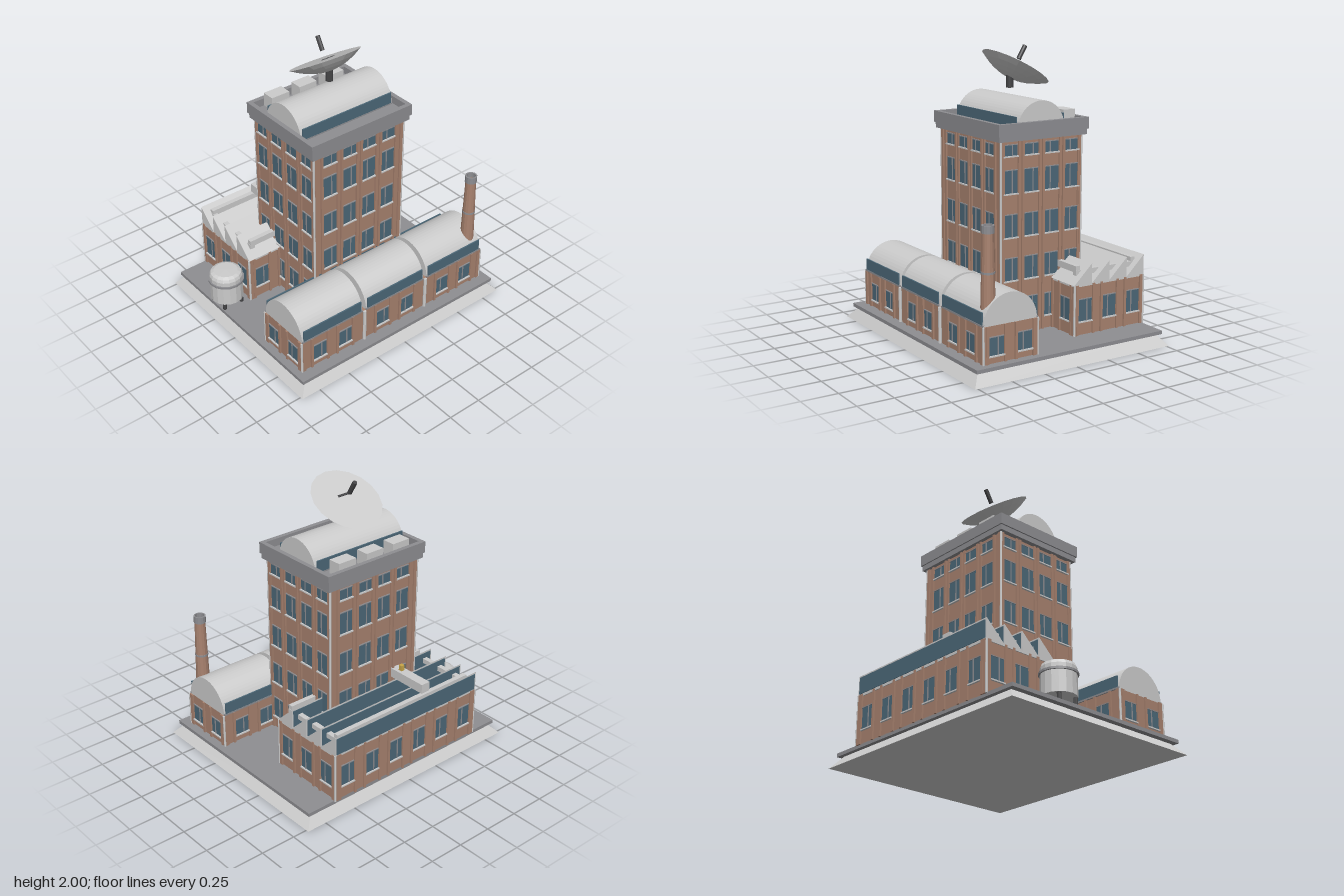
import * as THREE from 'three';

const mat = (color) => new THREE.MeshStandardMaterial({ color, flatShading: true });
const GREY = mat(0xcccccc), TRIM = mat(0x8e8e92), BRICK = mat(0xa8826f), GLASS = mat(0x4c6878),
  DARK = mat(0x444446), YELLOW = mat(0xc8a648);

function add(parent, name, geometry, material, x = 0, y = 0, z = 0) {
  const mesh = new THREE.Mesh(geometry, material);
  mesh.name = name;
  mesh.position.set(x, y, z);
  parent.add(mesh);
  return mesh;
}

// box given by its extents on each axis
function box(parent, name, material, [x0, x1], [y0, y1], [z0, z1]) {
  return add(parent, name, new THREE.BoxGeometry(x1 - x0, y1 - y0, z1 - z0), material,
    (x0 + x1) / 2, (y0 + y1) / 2, (z0 + z1) / 2);
}

function cylinder(parent, name, material, rTop, rBottom, y0, y1, x, z, sides = 16) {
  return add(parent, name, new THREE.CylinderGeometry(rTop, rBottom, y1 - y0, sides), material, x, (y0 + y1) / 2, z);
}

function group(parent, name) {
  const g = new THREE.Group();
  g.name = name;
  parent.add(g);
  return g;
}

// profile in (-z, y), extruded along x
function extrudeX(shape, x0, x1, curveSegments = 14) {
  const geo = new THREE.ExtrudeGeometry(shape, { depth: x1 - x0, bevelEnabled: false, curveSegments });
  return geo.rotateY(Math.PI / 2).translate(x0, 0, 0);
}

// half-round roof with an upright strip of glass along each long side
function barrelRoof(parent, x0, x1, y, z, r, glass0, glass1) {
  const g = group(parent, 'barrelRoof');
  const arch = new THREE.Shape();
  arch.absarc(0, 0, r, 0, Math.PI, false);
  arch.closePath();
  add(g, 'vault', extrudeX(arch, x0, x1), GREY, 0, y, z);
  for (const s of [-1, 1]) {
    const zc = z + s * (r + 0.001);
    box(g, 'glassStrip', GLASS, [x0 + 0.012, x1 - 0.012], [glass0, glass1], [zc - 0.005, zc + 0.005]);
    box(g, 'glassRail', TRIM, [x0, x1], [glass0 - 0.012, glass0], [zc - 0.007, zc + 0.007]);
  }
}

// one facade facing local +z: windows, sills and brick piers
function facade(parent, width, y0, y1, columns, rows, w = 0.11) {
  const g = group(parent, 'facade');
  for (const c of columns) {
    for (const [b, t] of rows) {
      box(g, 'windowPane', GLASS, [c - w / 2, c + w / 2], [b, t], [-0.01, 0.003]);
      box(g, 'windowSill', GREY, [c - w / 2 - 0.004, c + w / 2 + 0.004], [b - 0.009, b], [-0.01, 0.014]);
      box(g, 'windowLintel', TRIM, [c - w / 2, c + w / 2], [t, t + 0.006], [-0.01, 0.008]);
      const m = c + (c < 0 ? 1 : -1) * w * 0.12;
      box(g, 'mullion', TRIM, [m - 0.004, m + 0.004], [b, t], [-0.01, 0.007]);
    }
    for (const s of [-1, 1]) {
      const p = c + s * (w / 2 + 0.012);
      box(g, 'pier', BRICK, [p - 0.009, p + 0.009], [y0, y1], [-0.01, 0.012]);
    }
  }
  for (const s of [-1, 1]) {
    const e = s * (width / 2 - 0.012);
    box(g, 'cornerPier', BRICK, [e - 0.012, e + 0.012], [y0, y1], [-0.01, 0.01]);
  }
  return g;
}

// brick block with facades on all four sides
function block(parent, name, [x0, x1], [y0, y1], [z0, z1], xCols, zCols, rows) {
  const g = group(parent, name);
  box(g, 'brickCore', BRICK, [x0, x1], [y0, y1], [z0, z1]);
  const cx = (x0 + x1) / 2, cz = (z0 + z1) / 2;
  const sides = [[0, cx, z1, x1 - x0, xCols], [Math.PI, cx, z0, x1 - x0, xCols],
    [Math.PI / 2, x1, cz, z1 - z0, zCols], [-Math.PI / 2, x0, cz, z1 - z0, zCols]];
  for (const [angle, x, z, width, cols] of sides) {
    const f = facade(g, width, y0, y1, cols, rows);
    f.position.set(x, 0, z);
    f.rotation.y = angle;
  }
  for (const x of [x0 - 0.006, x1 + 0.006])
    for (const z of [z0 - 0.004, z1 + 0.004]) cylinder(g, 'downpipe', GREY, 0.008, 0.008, y0, y1, x, z, 8);
  return g;
}

function buildBase(root) {
  const g = group(root, 'base');
  // sloped plinth: unit frustum scaled to a rectangle
  const plinth = new THREE.CylinderGeometry(0.915 * Math.SQRT1_2 * 2, Math.SQRT2, 0.08, 4, 1).rotateY(Math.PI / 4);
  add(g, 'plinth', plinth, GREY, 0, 0.04, 0).scale.set(0.895, 1, 0.77);
  box(g, 'slab', TRIM, [-0.86, 0.86], [0.08, 0.105], [-0.735, 0.735]);
}

function buildTower(root) {
  const g = block(root, 'tower', [-0.377, 0.377], [0.1, 1.43], [-0.385, 0.25],
    [-0.25, -0.083, 0.083, 0.25], [-0.245, -0.082, 0.082, 0.245],
    [[0.2, 0.35], [0.48, 0.63], [0.775, 0.925], [1.07, 1.222], [1.32, 1.39]]);
  box(g, 'cornice', TRIM, [-0.412, 0.412], [1.418, 1.458], [-0.413, 0.283]);
  box(g, 'roofDeck', TRIM, [-0.4, 0.4], [1.45, 1.482], [-0.4, 0.27]);
  const rect = (x, z0, z1, P) => new P([[-x, -z0], [x, -z0], [x, -z1], [-x, -z1]].map(p => new THREE.Vector2(...p)));
  const ring = rect(0.422, 0.292, -0.422, THREE.Shape);
  ring.holes.push(rect(0.39, 0.26, -0.39, THREE.Path));
  const parapet = new THREE.ExtrudeGeometry(ring, { depth: 0.08, bevelEnabled: false }).rotateX(-Math.PI / 2);
  add(g, 'parapet', parapet, TRIM, 0, 1.456, 0);
  barrelRoof(g, -0.385, 0.385, 1.482, -0.06, 0.186, 1.49, 1.57);
  for (const x of [-0.232, 0, 0.235])
    box(g, 'roofUnit', GREY, [x - 0.072, x + 0.072], [1.482, 1.58], [-0.388, -0.295]);
}

function buildDish(root) {
  const g = group(root, 'dishAntenna');
  cylinder(g, 'mast', DARK, 0.026, 0.026, 1.715, 1.81, 0, -0.063, 10);
  const head = group(g, 'dishHead');
  head.position.set(0, 1.855, -0.108);
  head.rotation.x = -Math.atan2(0.25, 0.425);
  // shallow bowl closed by a flat face
  const profile = [];
  for (let i = 0; i <= 5; i++) {
    const r = 0.25 * i / 5;
    profile.push(new THREE.Vector2(r, -0.085 * (1 - (r / 0.25) ** 2)));
  }
  profile.push(new THREE.Vector2(0, 0.001));
  add(head, 'bowl', new THREE.LatheGeometry(profile, 18), GREY);
  box(head, 'feedBracket', DARK, [-0.047, 0.047], [-0.004, 0.004], [0.029, 0.045]);
  cylinder(head, 'feedHorn', DARK, 0.016, 0.016, 0.057, 0.16, 0, 0.002, 10);
}

function buildFrontHall(root) {
  const g = block(root, 'frontHall', [-0.8, 0.8], [0.1, 0.35], [0.25, 0.65],
    [-0.655, -0.44, -0.11, 0.11, 0.44, 0.655], [-0.107, 0.107], [[0.157, 0.275]]);
  for (const [x0, x1] of [[-0.8, -0.29], [-0.258, 0.258], [0.29, 0.8]])
    barrelRoof(g, x0, x1, 0.35, 0.45, 0.2, 0.362, 0.442);
  for (const x of [-0.274, 0.274])
    for (const z of [0.243, 0.658]) cylinder(g, 'downpipe', GREY, 0.012, 0.012, 0.1, 0.35, x, z, 8);
}

function buildSawtoothHall(root) {
  const cols = [-0.535, -0.32, -0.107, 0.107, 0.32, 0.535];
  const g = block(root, 'sawtoothHall', [-0.635, 0.635], [0.1, 0.452], [-0.735, -0.165], cols, [-0.2, 0, 0.2], [[0.2, 0.35]]);
  // four teeth, each sloping up toward the back and dropping in an upright glazed face
  const step = 0.1465, start = 0.155, n = 4;
  const teeth = new THREE.Shape().moveTo(start, 0.44).lineTo(start, 0.452);
  for (let i = 1; i <= n; i++) {
    teeth.lineTo(start + i * step, 0.59);
    teeth.lineTo(start + i * step, i < n ? 0.452 : 0.44);
  }
  teeth.closePath();
  add(g, 'sawtoothRoof', extrudeX(teeth, -0.642, 0.642), GREY);
  for (let i = 1; i <= n; i++) {
    const z = -(start + i * step);
    box(g, 'roofGlazing', GLASS, [-0.63, 0.63], [0.458, 0.578], [z - 0.004, z + 0.001]);
  }
  // duct loop and the raised duct running to the tower
  for (const z of [-0.222, -0.685])
    box(g, 'roofDuct', GREY, [-0.59, 0.59], [0.525, 0.57], [z - 0.017, z + 0.017]);
  for (const x of [-0.575, 0.575])
    box(g, 'roofDuct', GREY, [x - 0.018, x + 0.018], [0.505, 0.54], [-0.7, -0.205]);
  box(g, 'raisedDuct', GREY, [-0.238, -0.167], [0.578, 0.645], [-0.692, -0.38]);
  box(g, 'ductValve', YELLOW, [-0.218, -0.19], [0.645, 0.685], [-0.468, -0.44]);
}

function buildTank(root) {
  const g = group(root, 'tank');
  g.position.set(-0.77, 0, -0.265);
  const profile = [[0, 0.155], [0.117, 0.155], [0.117, 0.345], [0.108, 0.366], [0.085, 0.377], [0, 0.379]];
  add(g, 'tankBody', new THREE.LatheGeometry(profile.map(p => new THREE.Vector2(...p)), 16), GREY);
  cylinder(g, 'tankBand', TRIM, 0.127, 0.127, 0.3, 0.315, 0, 0);
  for (let i = 0; i < 4; i++) {
    const a = Math.PI / 4 + i * Math.PI / 2;
    cylinder(g, 'tankLeg', DARK, 0.014, 0.014, 0.1, 0.16, 0.1 * Math.cos(a), 0.1 * Math.sin(a), 8);
  }
}

function buildChimney(root) {
  const g = group(root, 'chimney');
  g.position.set(0.738, 0, 0.578);
  cylinder(g, 'stack', BRICK, 0.037, 0.05, 0.4, 0.94, 0, 0, 14);
  cylinder(g, 'stackBand', TRIM, 0.046, 0.046, 0.672, 0.686, 0, 0, 14);
  const cap = [[0.03, 0.93], [0.042, 0.93], [0.042, 0.98], [0.032, 0.98], [0.032, 0.94], [0, 0.94]];
  add(g, 'stackCap', new THREE.LatheGeometry(cap.map(p => new THREE.Vector2(...p)), 14), TRIM);
}

export function createModel() {
  const root = new THREE.Group();
  root.name = 'factory';
  buildBase(root);
  buildTower(root);
  buildDish(root);
  buildFrontHall(root);
  buildSawtoothHall(root);
  buildTank(root);
  buildChimney(root);
  return root;
}
